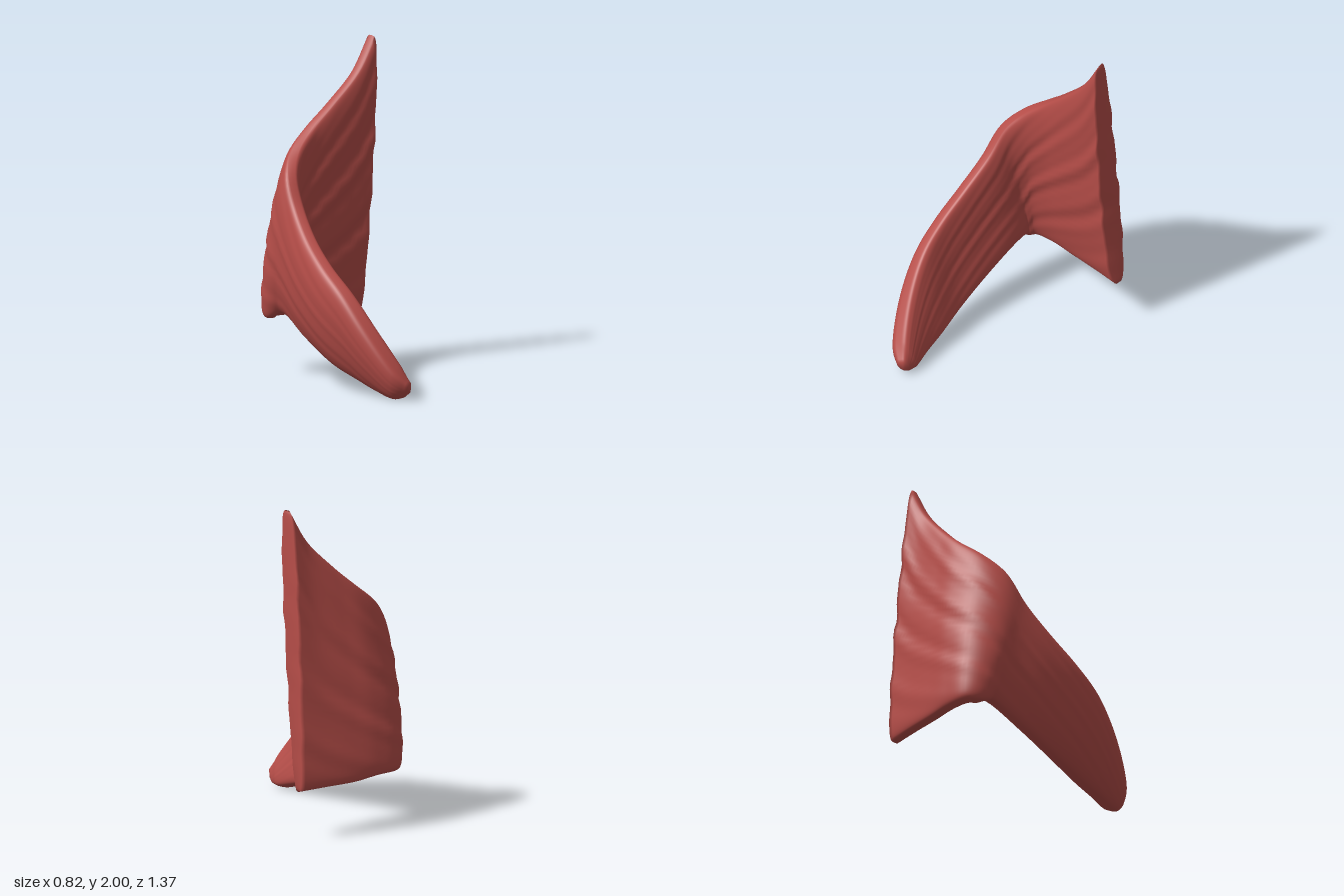
import * as THREE from 'three';

const V = (x, y, z) => new THREE.Vector3(x, y, z);

// Upper rim, lower rim, half thickness and outward bow along the sheet
const stations = [
  [[0.40, 2.00, -0.475], [0.40, 0.30, -0.625], 0.072, -0.005],
  [[0.28, 1.80, -0.465], [0.22, 0.31, -0.625], 0.073, -0.005],
  [[0.10, 1.62, -0.465], [0.02, 0.32, -0.62], 0.075, -0.005],
  [[-0.05, 1.49, -0.455], [-0.13, 0.34, -0.605], 0.077, 0],
  [[-0.19, 1.37, -0.40], [-0.26, 0.345, -0.575], 0.079, 0],
  [[-0.275, 1.25, -0.31], [-0.295, 0.345, -0.505], 0.077, 0.01],
  [[-0.305, 1.07, -0.19], [-0.255, 0.39, -0.41], 0.074, 0.02],
  [[-0.33, 0.90, -0.02], [-0.245, 0.27, -0.14], 0.074, 0.03],
  [[-0.335, 0.76, 0.16], [-0.22, 0.15, 0.12], 0.076, 0.032],
  [[-0.31, 0.62, 0.34], [-0.17, 0.08, 0.33], 0.079, 0.022],
  [[-0.255, 0.43, 0.50], [-0.14, 0.04, 0.47], 0.078, 0.012],
  [[-0.155, 0.20, 0.65], [-0.105, 0.01, 0.59], 0.068, 0.005],
  [[-0.09, 0.10, 0.695], [-0.085, 0.02, 0.645], 0.034, 0],
];
const RINGS = 72, SIDES = 96;

// Closed rounded-slab cross-sections swept between the two rims
function buildRings() {
  const top = new THREE.CatmullRomCurve3(stations.map(s => V(...s[0])));
  const bottom = new THREE.CatmullRomCurve3(stations.map(s => V(...s[1])));
  const size = new THREE.CatmullRomCurve3(stations.map((s, i) => V(s[2], s[3], i)));
  const rings = [];
  for (let i = 0; i <= RINGS; i++) {
    const u = i / RINGS;
    const t = top.getPoint(u), b = bottom.getPoint(u), s = size.getPoint(u);
    const u0 = Math.max(0, u - 0.04), u1 = Math.min(1, u + 0.04);
    const dt = top.getPoint(u1).sub(top.getPoint(u0));
    const db = bottom.getPoint(u1).sub(bottom.getPoint(u0));
    const up = t.clone().sub(b);
    const ring = [];
    for (let j = 0; j < SIDES; j++) {
      const a = j / SIDES * Math.PI * 2;
      const v = (1 - Math.cos(a)) / 2, w = Math.sin(a);
      const n = dt.clone().lerp(db, v).cross(up).normalize();
      // Fibre ridges climb towards the wide edge and fade along the limb
      const fade = Math.pow(1 - u, 1.2) * w * w;
      const ridge = fade * (0.007 * Math.sin(34 * v - 22 * u + (w > 0 ? 0 : 2)) + 0.004 * Math.sin(57 * v - 38 * u));
      const side = Math.sign(w) * (s.x * Math.pow(Math.abs(w), 0.5) + ridge);
      ring.push(t.clone().lerp(b, v).addScaledVector(n, side + s.y * w * w));
    }
    rings.push(ring);
  }
  return rings;
}

const centre = ring => ring.reduce((sum, p) => sum.add(p), V(0, 0, 0)).divideScalar(ring.length);

export function createModel() {
  const group = new THREE.Group();
  group.name = 'muscle';
  const red = new THREE.MeshStandardMaterial({ color: 0xb54d48 });
  red.name = 'muscle red';

  // Walls of the curved sheet
  const rings = buildRings();
  const points = rings.flat(), index = [];
  for (let i = 0; i < RINGS; i++) {
    for (let j = 0; j < SIDES; j++) {
      const k = (j + 1) % SIDES;
      const a = i * SIDES + j, b = i * SIDES + k;
      index.push(a, b, a + SIDES, b, b + SIDES, a + SIDES);
    }
  }

  // Rounded tip
  const tip = points.length, last = RINGS * SIDES;
  points.push(centre(rings[RINGS]).add(V(0.012, -0.01, 0.015)));
  for (let j = 0; j < SIDES; j++) index.push(tip, last + j, last + (j + 1) % SIDES);

  // Midline face, a strip joining both walls and sharing their smooth normals
  for (let j = 0; j < SIDES / 2; j++) {
    const l = (SIDES - j) % SIDES, m = SIDES - j - 1;
    if (j > 0) index.push(j, l, j + 1);
    if (j + 1 < SIDES / 2) index.push(j + 1, l, m);
  }

  const geometry = new THREE.BufferGeometry().setFromPoints(points);
  geometry.setIndex(index);
  geometry.computeVertexNormals();
  const sheet = new THREE.Mesh(geometry, red);
  sheet.name = 'muscleSheet';
  group.add(sheet);

  // Stand on the ground, centred
  const box = new THREE.Box3().setFromObject(group);
  const c = box.getCenter(V(0, 0, 0));
  group.position.set(-c.x, -box.min.y, -c.z);
  return group;
}
